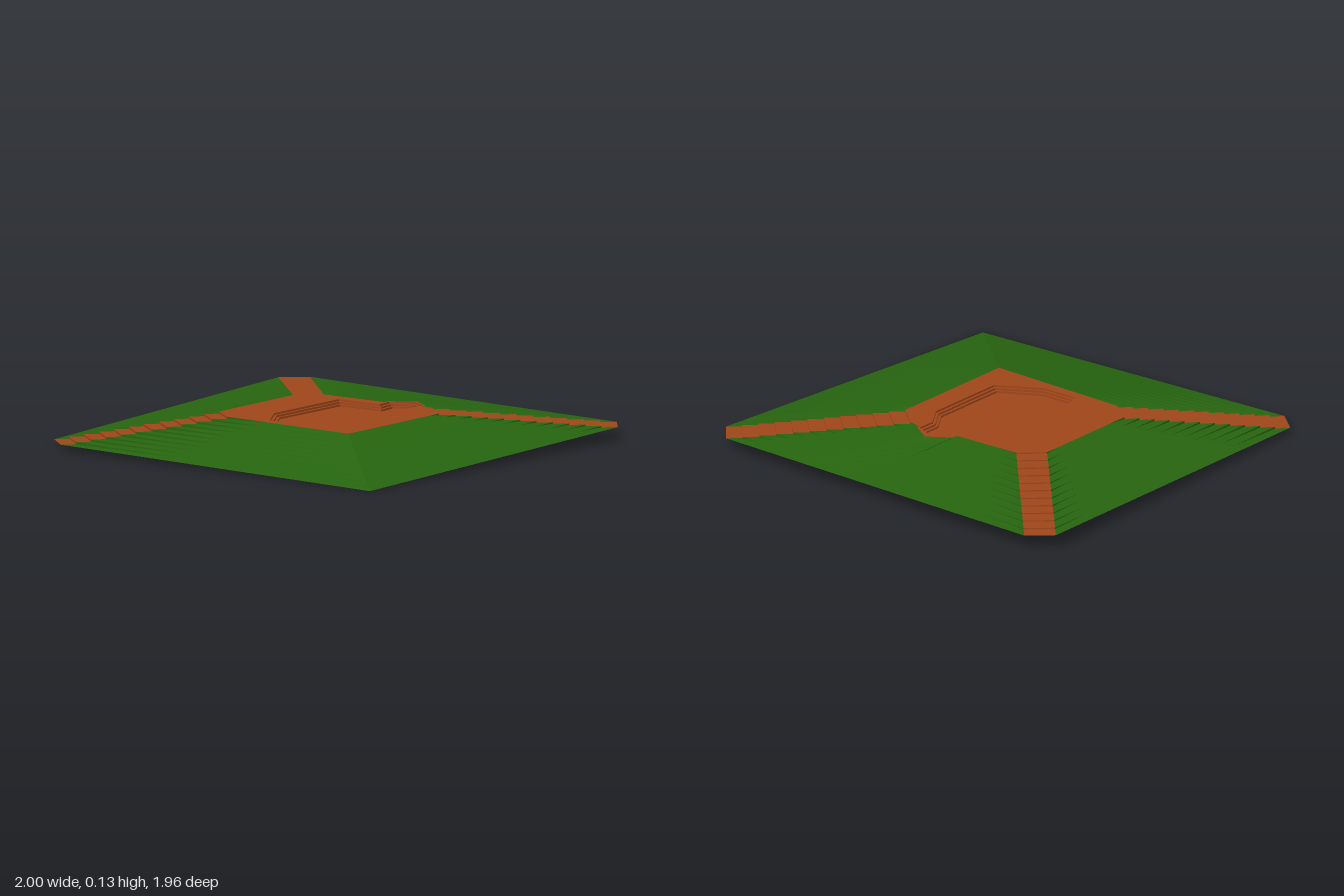
import * as THREE from 'three';

const TOP = 0.13, STEPS = 11, STEP_DROP = 0.009;
const green = new THREE.MeshStandardMaterial({ color: 0x26640f, side: THREE.DoubleSide, flatShading: true });
const brown = new THREE.MeshStandardMaterial({ color: 0xa0461a, side: THREE.DoubleSide, flatShading: true });

// Hill corners, anticlockwise from above: outer and inner edge points [x, z], foot height
const corners = {
  frontLeft: { outer: [[-0.825, 0.89], [-0.71, 0.975]], inner: [[-0.37, 0.295], [-0.255, 0.37]], y: 0.03, stairs: true },
  frontRight: { outer: [[1, 0.83], [1, 0.83]], inner: [[0.44, 0.34], [0.44, 0.34]], y: 0, stairs: false },
  backRight: { outer: [[0.965, -0.88], [0.87, -0.98]], inner: [[0.40, -0.315], [0.28, -0.405]], y: 0.06, stairs: true },
  backLeft: { outer: [[-0.90, -0.92], [-1, -0.82]], inner: [[-0.31, -0.345], [-0.405, -0.245]], y: 0.065, stairs: true },
};
// Bulge of the plateau around the neck of the basin
const bulge = [[0.222, -0.41], [0.22, -0.427], [0.12, -0.483], [0.02, -0.405], [0.02, -0.378]];
// Rim of the sunken basin, clockwise from above
const rim = [[-0.18, -0.30], [0.045, -0.32], [0.03, -0.40], [0.12, -0.47], [0.21, -0.42], [0.215, -0.33],
  [0.29, -0.23], [0.315, 0.175], [0.125, 0.30], [-0.05, 0.315], [-0.16, 0.16]];

const mix = (p, q, t) => [p[0] + (q[0] - p[0]) * t, p[1] + (q[1] - p[1]) * t];
const lift = (p, y) => new THREE.Vector3(p[0], y, p[1]);

// Faceted surface through rows of points
function surface(name, rows, material) {
  const points = [];
  const add = (a, b, c) => {
    if (new THREE.Triangle(a, b, c).getArea() > 1e-8) points.push(a, b, c);
  };
  for (let r = 0; r < rows.length - 1; r++) {
    for (let c = 0; c < rows[r].length - 1; c++) {
      const [a, b, d, e] = [rows[r][c], rows[r][c + 1], rows[r + 1][c + 1], rows[r + 1][c]];
      add(a, b, d);
      add(a, d, e);
    }
  }
  const geometry = new THREE.BufferGeometry().setFromPoints(points);
  geometry.computeVertexNormals();
  const mesh = new THREE.Mesh(geometry, material);
  mesh.name = name;
  return mesh;
}

// Level polygon, optionally with a hole
function level(name, outline, y, hole) {
  const flip = (list) => list.map(([x, z]) => new THREE.Vector2(x, -z));
  const shape = new THREE.Shape(flip(outline));
  if (hole) shape.holes.push(new THREE.Path(flip(hole)));
  const mesh = new THREE.Mesh(new THREE.ShapeGeometry(shape).rotateX(-Math.PI / 2), brown);
  mesh.position.y = y;
  mesh.name = name;
  return mesh;
}

// Offsets a clockwise outline inwards with mitred corners
function inset(outline, distance) {
  const n = outline.length;
  const normal = (p, q) => {
    const l = Math.hypot(q[0] - p[0], q[1] - p[1]);
    return [-(q[1] - p[1]) / l, (q[0] - p[0]) / l];
  };
  return outline.map((p, i) => {
    const u = normal(outline[(i + n - 1) % n], p), v = normal(p, outline[(i + 1) % n]);
    const k = distance / (1 + u[0] * v[0] + u[1] * v[1]);
    return [p[0] + (u[0] + v[0]) * k, p[1] + (u[1] + v[1]) * k];
  });
}

// Tread and riser positions: [fraction along the flight, fraction of the rise]
const profile = [];
for (let i = 0; i < STEPS; i++) profile.push([i / STEPS, i / STEPS], [(i + 1) / STEPS, i / STEPS]);
profile.push([1, 1]);

const height = (corner, t, h) => THREE.MathUtils.lerp(corner.y, TOP, corner.stairs ? h : t);

// Flight of steps up one corner
const stairs = (name, c) => surface(name, profile.map(([t, h]) =>
  [0, 1].map((i) => lift(mix(c.outer[i], c.inner[i], t), height(c, t, h)))), brown);

// Grass bank between two corners; the step creases fade out at the two given fractions
function bank(name, a, b, fadeA, fadeB, extra = []) {
  const [a0, a1, b0, b1] = [a.outer[1], a.inner[1], b.outer[0], b.inner[0]];
  const dx = b1[0] - a1[0], dz = b1[1] - a1[1];
  const upper = [a1, mix(a1, b1, fadeA), ...extra, mix(a1, b1, fadeB), b1];
  const rows = profile.map(([t, h]) => upper.map((p, i) => {
    const s = ((p[0] - a1[0]) * dx + (p[1] - a1[1]) * dz) / (dx * dx + dz * dz);
    const y = i === 0 ? height(a, t, h)
      : i === upper.length - 1 ? height(b, t, h)
        : THREE.MathUtils.lerp(THREE.MathUtils.lerp(a.y, b.y, s), TOP, t);
    return lift(mix(mix(a0, b0, s), p, t), y);
  }));
  return surface(name, rows, green);
}

export function createModel() {
  const model = new THREE.Group();
  model.name = 'terracedHill';
  const { frontLeft, frontRight, backRight, backLeft } = corners;

  // Grass banks
  model.add(
    bank('frontBank', frontLeft, frontRight, 0.35, 0.9),
    bank('rightBank', frontRight, backRight, 0.1, 0.9),
    bank('backBank', backRight, backLeft, 0.06, 0.85, bulge),
    bank('leftBank', backLeft, frontLeft, 0.15, 0.8),
  );

  // Corner stairs
  for (const [name, corner] of Object.entries(corners)) {
    if (corner.stairs) model.add(stairs(name + 'Stairs', corner));
  }

  // Earth plateau with the basin opening
  const edge = [...frontLeft.inner, frontRight.inner[0], ...backRight.inner, ...bulge, ...backLeft.inner];
  model.add(level('plateau', edge, TOP, rim));

  // Basin: three low risers with two narrow ledges, then the floor
  const rings = [];
  for (let i = 0; i < 3; i++) {
    const outline = inset(rim, i * 0.0125);
    const loop = [...outline, outline[0]];
    rings.unshift(loop.map((p) => lift(p, TOP - i * STEP_DROP)));
    rings.unshift(loop.map((p) => lift(p, TOP - (i + 1) * STEP_DROP)));
  }
  model.add(surface('basinSteps', rings, brown));
  model.add(level('basinFloor', inset(rim, 0.025), TOP - 3 * STEP_DROP));

  return model;
}
